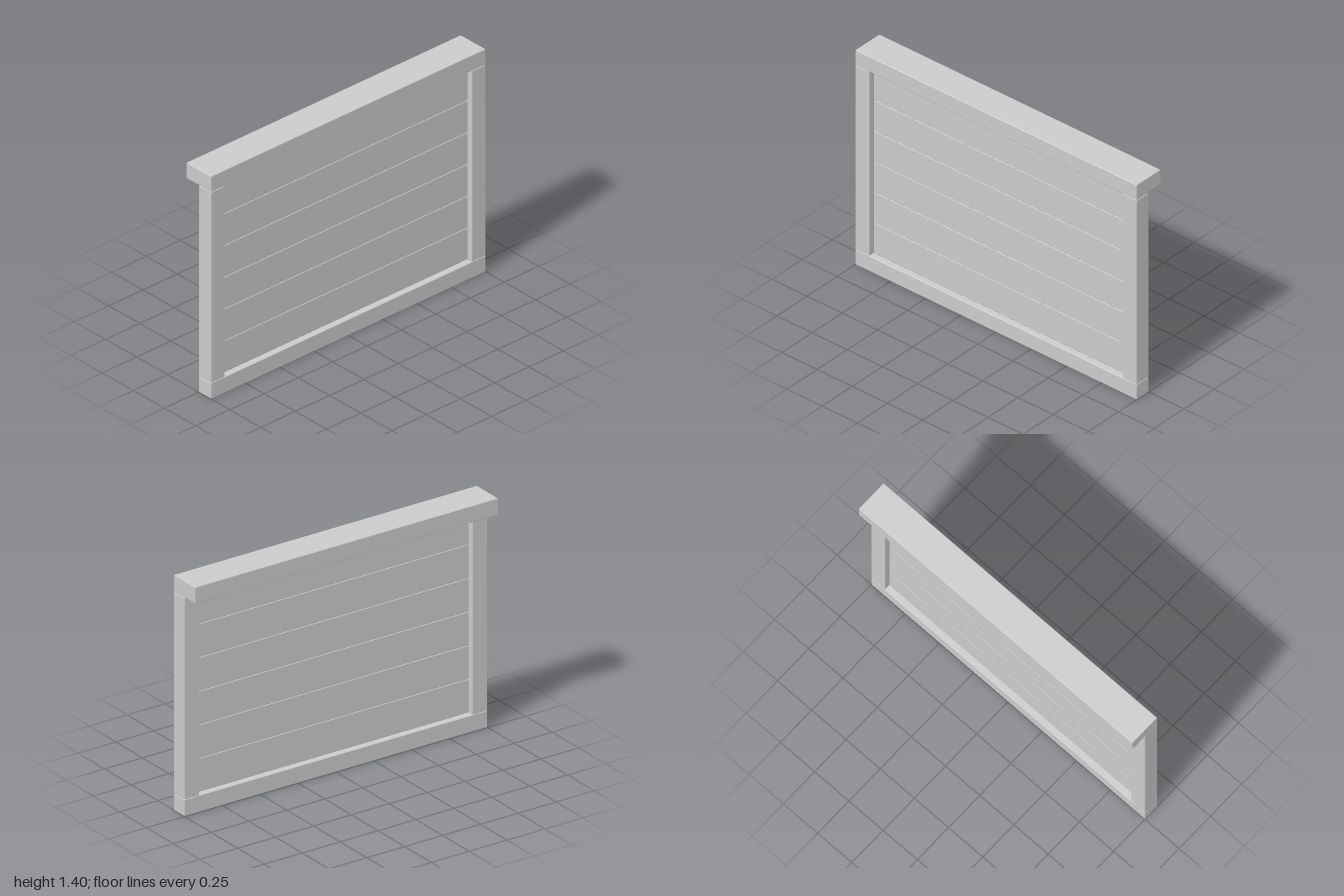
import * as THREE from 'three';
import { RoundedBoxGeometry } from 'three/addons/geometries/RoundedBoxGeometry.js';

const material = new THREE.MeshStandardMaterial({ color: 0xcccccc });
const BEVEL = 0.005;

// Softly bevelled timber, placed by its centre
function timber(name, [w, h, d], [x, y, z]) {
  const mesh = new THREE.Mesh(new RoundedBoxGeometry(w, h, d, 1, BEVEL), material);
  mesh.name = name;
  mesh.position.set(x, y, z);
  return mesh;
}

export function createModel() {
  const model = new THREE.Group();
  model.name = 'plankWallPanel';
  const frameZ = 0.05;

  // Rails: narrow at the bottom, a deeper cap overhanging at the back
  model.add(timber('bottomRail', [2, 0.1, 0.1], [0, 0.05, frameZ]));
  model.add(timber('topCap', [2, 0.1, 0.2], [0, 1.35, 0]));

  // Side posts
  for (const [name, side] of [['leftPost', 1], ['rightPost', -1]]) {
    model.add(timber(name, [0.1, 1.2, 0.1], [side * 0.95, 0.7, frameZ]));
  }

  // Horizontal planks set back inside the frame
  const planks = new THREE.Group();
  planks.name = 'planks';
  for (let i = 0; i < 6; i++) {
    planks.add(timber(`plank${i + 1}`, [1.8, 0.2, 0.03], [0, 0.2 + i * 0.2, frameZ]));
  }
  model.add(planks);

  return model;
}
